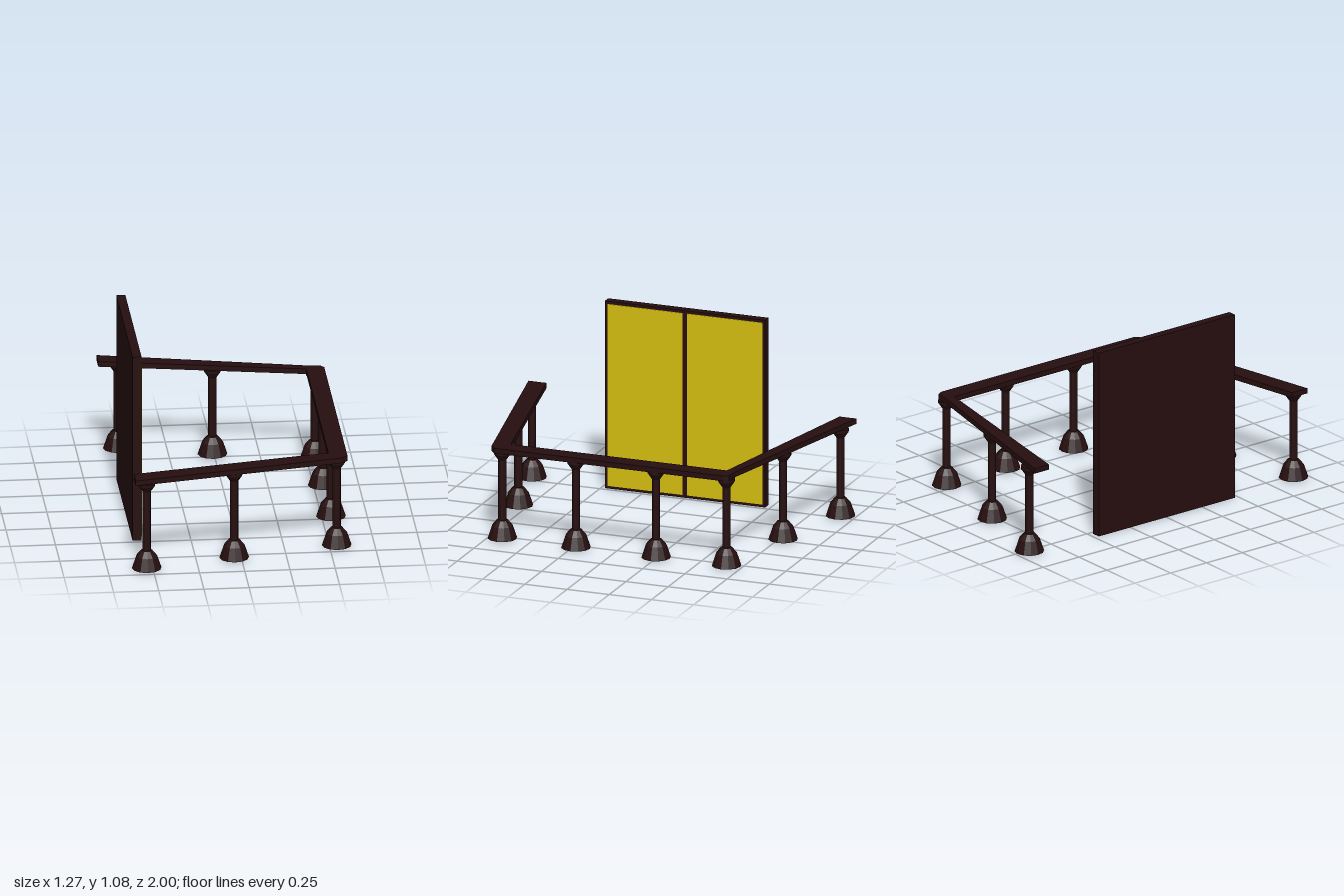
import * as THREE from 'three';

const darkWood = new THREE.MeshStandardMaterial({ color: 0x260e0f, flatShading: true });
darkWood.name = 'darkWood';
const yellowPanel = new THREE.MeshStandardMaterial({ color: 0xd4be10 });
yellowPanel.name = 'yellowPanel';

function addMesh(parent, name, geometry, material, x = 0, y = 0, z = 0) {
  const mesh = new THREE.Mesh(geometry, material);
  mesh.name = name;
  mesh.position.set(x, y, z);
  parent.add(mesh);
  return mesh;
}

export function createModel() {
  const model = new THREE.Group();
  model.name = 'railingAndDoor';

  // Posts: flared foot, slim shaft and widening capital, turned in one profile
  const profile = [
    [0, 0.008], [0.082, 0.008], [0.058, 0.08], [0.032, 0.112], [0.023, 0.115],
    [0.023, 0.46], [0.047, 0.495], [0.047, 0.512], [0, 0.512],
  ].map(([r, y]) => new THREE.Vector2(r, y));
  const postGeometry = new THREE.LatheGeometry(profile, 12);
  const postSpots = [
    [-0.52, -0.918], [-0.01, -0.78], [0.545, -0.665], [0.55, -0.25],
    [0.55, 0.225], [0.54, 0.665], [-0.04, 0.80], [-0.535, 0.915],
  ];
  const posts = new THREE.Group();
  posts.name = 'posts';
  postSpots.forEach(([x, z], i) => addMesh(posts, `post${i + 1}`, postGeometry, darkWood, x, 0, z));
  model.add(posts);

  // Handrail: three-sided plan outline (x, z), the back arm tapering to its corner
  const plan = [
    [-0.633, -0.968], [0.51, -0.70], [0.58, -0.695], [0.598, -0.665],
    [0.598, 0.69], [0.56, 0.72], [-0.6, 0.962], [-0.6, 0.855],
    [0.497, 0.632], [0.497, -0.648], [-0.633, -0.868],
  ].map(([x, z]) => new THREE.Vector2(x, -z));
  const railGeometry = new THREE.ExtrudeGeometry(new THREE.Shape(plan), { depth: 0.03, bevelEnabled: false });
  railGeometry.rotateX(-Math.PI / 2);
  addMesh(model, 'handrail', railGeometry, darkWood, 0, 0.51, 0);

  // Door: dark slab with two thin panels on the side facing the railing
  const door = new THREE.Group();
  door.name = 'door';
  addMesh(door, 'doorSlab', new THREE.BoxGeometry(0.05, 1.083, 0.95), darkWood, -0.546, 0.5415, 0.003);
  const panelGeometry = new THREE.BoxGeometry(0.004, 1.052, 0.445);
  for (const side of [-1, 1]) {
    addMesh(door, side > 0 ? 'leftPanel' : 'rightPanel', panelGeometry, yellowPanel,
      -0.52, 0.5415, 0.003 + side * 0.2365);
  }
  model.add(door);

  return model;
}
